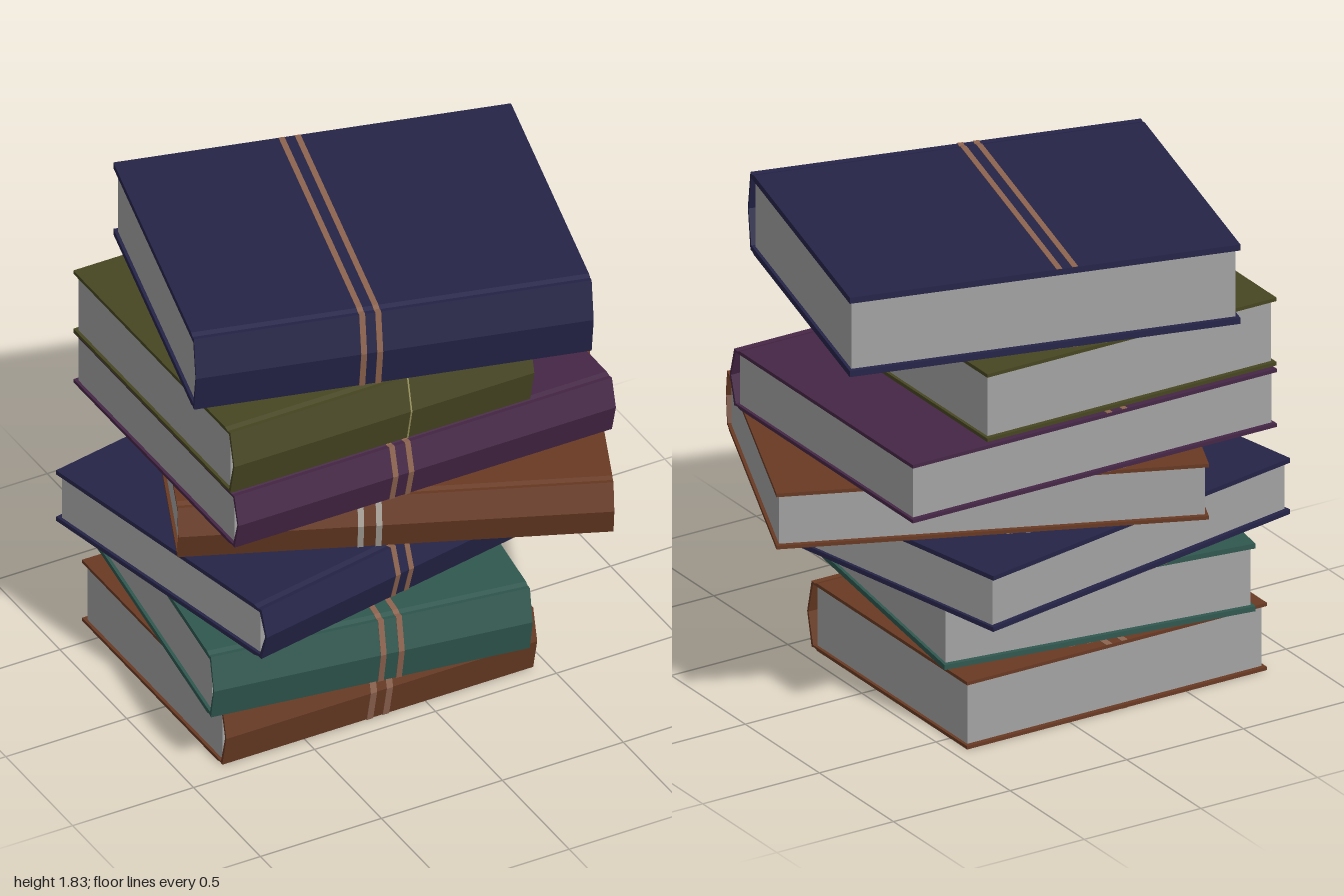
import * as THREE from 'three';

const mat = (name, color) => {
  const m = new THREE.MeshStandardMaterial({ color });
  m.name = name;
  return m;
};

// Cross-section of a hardback case (depth along x, height along y), extruded along the spine.
// grow lifts the outside slightly, for bands wrapped round the case.
function caseGeometry(length, depth, h, t, grow = 0) {
  const b = depth / 2 - grow / 2, p = depth / 2, f = p - 0.03, e = grow;
  const points = [
    // lower board, hinge groove, ridged spine, hinge groove, upper board
    [-b, -e], [f - 0.04, -e], [f - 0.02, 0.006 - e], [f + e, 0.003 - e],
    [p + e, h / 2],
    [f + e, h - 0.003 + e], [f - 0.02, h - 0.006 + e], [f - 0.04, h + e], [-b, h + e],
    // hollow inside
    [-b, h - t], [f - 0.01, h - t], [p - 0.009, h / 2], [f - 0.01, t], [-b, t],
  ];
  const shape = new THREE.Shape(points.map(([x, y]) => new THREE.Vector2(x, y)));
  const geo = new THREE.ExtrudeGeometry(shape, { depth: length, bevelEnabled: false });
  return geo.translate(0, 0, -length / 2).rotateY(-Math.PI / 2);
}

function makeBook({ name, cover, paper, band, x, z, y, turn, w, d, h, t, bands, bandWidth = 0.022 }) {
  const book = new THREE.Group();
  book.name = name;
  const add = (part, geo, material) => {
    const mesh = new THREE.Mesh(geo, material);
    mesh.name = part;
    book.add(mesh);
    return mesh;
  };

  add('cover', caseGeometry(w, d, h, t), cover);

  // page block, set in from the board edges and clear of the hollow spine
  const back = -d / 2 + 0.018, front = d / 2 - 0.05;
  add('pages', new THREE.BoxGeometry(w - 0.024, h - 2 * t + 0.002, front - back), paper)
    .position.set(0, h / 2, (front + back) / 2);

  // thin bands wrapped over boards and spine
  for (const bx of bands) {
    add('band', caseGeometry(bandWidth, d, h, t * 0.55, 0.002), band).position.x = bx;
  }

  book.position.set(x, y, z);
  book.rotation.y = THREE.MathUtils.degToRad(turn);
  return book;
}

export function createModel() {
  const brown = mat('brown cloth', 0x693a23);
  const teal = mat('teal cloth', 0x30584f);
  const navy = mat('navy cloth', 0x252448);
  const purple = mat('purple cloth', 0x452645);
  const olive = mat('olive cloth', 0x474622);
  const paper = mat('paper', 0xa2a2a2);
  const tan = mat('tan band', 0x8e6450);
  const silver = mat('silver band', 0xaaa299);
  const paleOlive = mat('pale olive band', 0x98935c);

  // bottom to top
  const books = [
    { name: 'bottomBrownBook', cover: brown, band: tan, x: -0.2, z: -0.08, y: 0.002, turn: 0,
      w: 1.285, d: 1.08, h: 0.268, t: 0.013, bands: [-0.033, 0.033], bandWidth: 0.026 },
    { name: 'tealBook', cover: teal, band: tan, x: -0.233, z: 0.012, y: 0.276, turn: -8,
      w: 1.235, d: 1.205, h: 0.27, t: 0.02, bands: [0.04, 0.11] },
    { name: 'lowerNavyBook', cover: navy, band: tan, x: -0.157, z: -0.093, y: 0.55, turn: 11.2,
      w: 1.484, d: 1.183, h: 0.222, t: 0.018, bands: [-0.12, -0.058] },
    { name: 'middleBrownBook', cover: brown, band: silver, x: 0.05, z: -0.003, y: 0.776, turn: -23,
      w: 1.586, d: 1.12, h: 0.222, t: 0.014, bands: [-0.128, -0.062] },
    { name: 'purpleBook', cover: purple, band: tan, x: -0.055, z: -0.08, y: 1.002, turn: 0,
      w: 1.56, d: 1.235, h: 0.232, t: 0.014, bands: [-0.13, -0.065] },
    { name: 'oliveBook', cover: olive, band: paleOlive, x: -0.225, z: -0.078, y: 1.238, turn: 0,
      w: 1.24, d: 1.205, h: 0.27, t: 0.014, bands: [0.112], bandWidth: 0.006 },
    { name: 'topNavyBook', cover: navy, band: tan, x: -0.035, z: -0.05, y: 1.511, turn: -14.3,
      w: 1.487, d: 1.186, h: 0.316, t: 0.024, bands: [-0.115, -0.055] },
  ];

  const stack = new THREE.Group();
  stack.name = 'bookStack';
  for (const b of books) stack.add(makeBook({ ...b, paper }));
  return stack;
}
